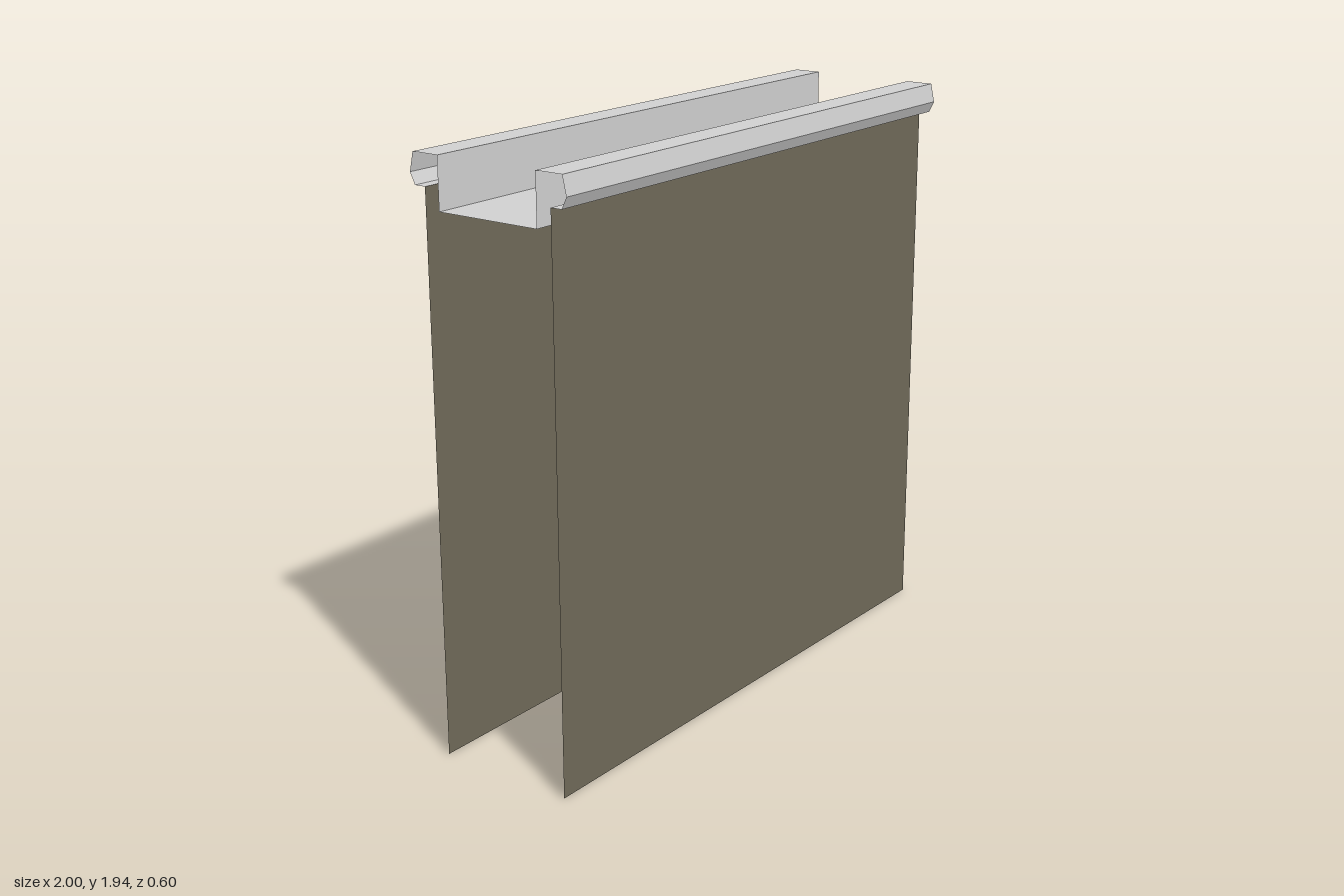
import * as THREE from 'three';

const LENGTH = 2;

// Flat strip spanning the full length between two [z, y] profile points
function strip(name, a, b, material) {
  const h = LENGTH / 2;
  const geometry = new THREE.BufferGeometry();
  geometry.setAttribute('position', new THREE.Float32BufferAttribute([
    -h, a[1], a[0], h, a[1], a[0], h, b[1], b[0], -h, b[1], b[0],
  ], 3));
  geometry.setIndex([0, 1, 2, 0, 2, 3]);
  geometry.computeVertexNormals();
  const mesh = new THREE.Mesh(geometry, material);
  mesh.name = name;
  return mesh;
}

export function createModel() {
  const stone = new THREE.MeshStandardMaterial({ color: 0xd0d0d0, side: THREE.DoubleSide });
  stone.name = 'pale concrete';
  const earth = new THREE.MeshStandardMaterial({ color: 0x6f6959, side: THREE.DoubleSide });
  earth.name = 'brown wall';

  const model = new THREE.Group();
  model.name = 'raisedChannel';

  // Floor of the trough, facing up
  model.add(strip('channelFloor', [0.187, 1.77], [-0.187, 1.77], stone));

  // Half profile from the wall foot up over the lip and down into the trough
  const profile = [
    ['sideWall', [0.24, 0], [0.24, 1.838], earth],
    ['lipUnderside', [0.24, 1.838], [0.28, 1.838], stone],
    ['lipLowerSlope', [0.28, 1.838], [0.298, 1.875], stone],
    ['lipUpperSlope', [0.298, 1.875], [0.284, 1.937], stone],
    ['lipTop', [0.284, 1.937], [0.187, 1.937], stone],
    ['channelSide', [0.187, 1.937], [0.187, 1.77], stone],
  ];
  for (const side of [1, -1]) {
    const half = new THREE.Group();
    half.name = side > 0 ? 'frontSide' : 'backSide';
    for (const [name, a, b, material] of profile) half.add(strip(name, a, b, material));
    // The back half is the front half turned around
    if (side < 0) half.rotation.y = Math.PI;
    model.add(half);
  }
  return model;
}
